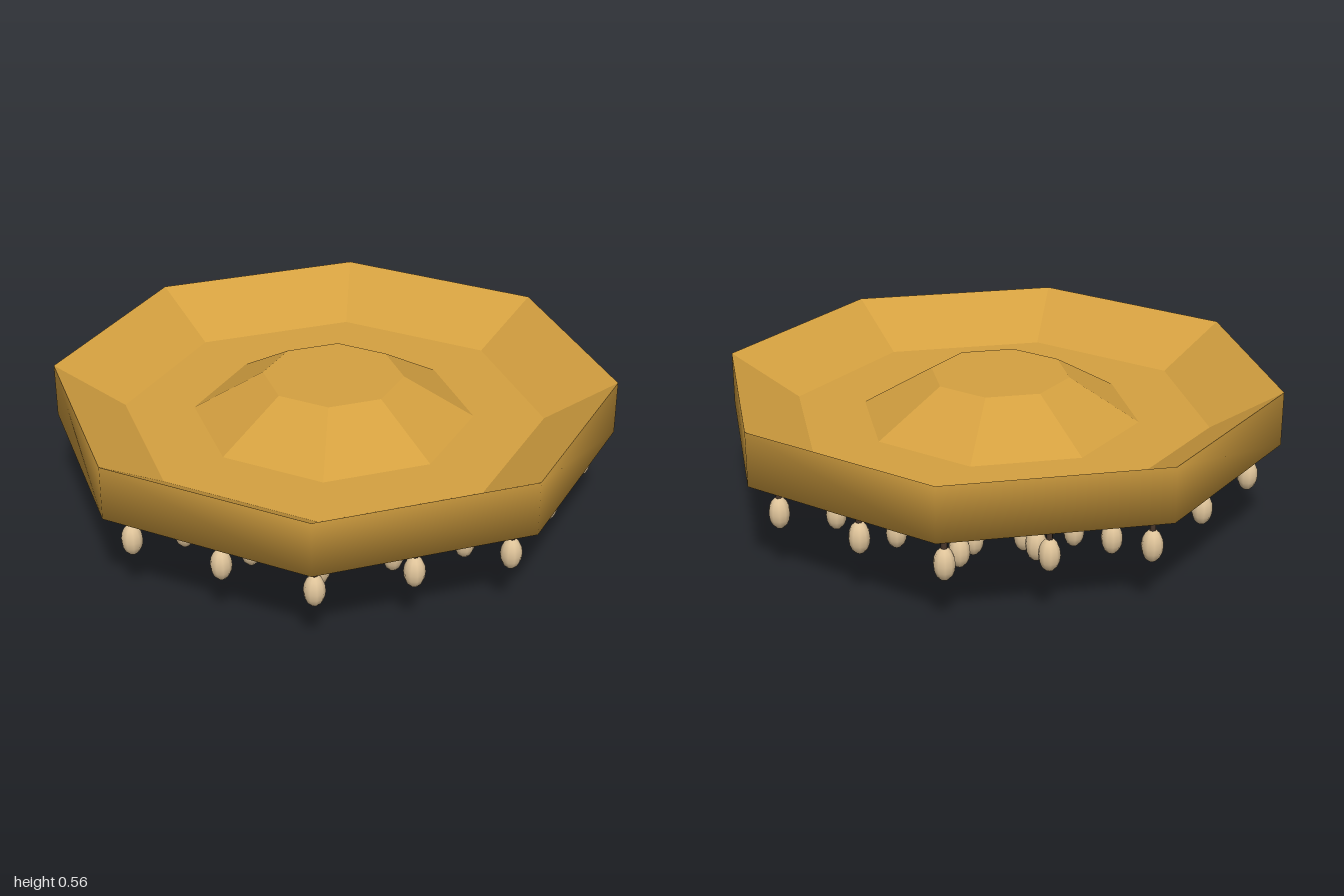
import * as THREE from 'three';

const SIDES = 8;
const RIM_Y = 0.555, BASE_Y = 0.36, STEP = 0.06;

export function createModel() {
  const model = new THREE.Group();
  model.name = 'chandelier';

  const gold = new THREE.MeshStandardMaterial({ color: 0xd4a040 });
  gold.name = 'gold';
  const darkMetal = new THREE.MeshStandardMaterial({ color: 0x4a382c });
  darkMetal.name = 'dark metal';
  const glass = new THREE.MeshStandardMaterial({ color: 0xdfc49a });
  glass.name = 'cream glass';

  const add = (name, geometry, material, parent = model) => {
    const mesh = new THREE.Mesh(geometry, material);
    mesh.name = name;
    parent.add(mesh);
    return mesh;
  };
  const lathe = (points) =>
    new THREE.LatheGeometry(points.map(([r, y]) => new THREE.Vector2(r, y)), SIDES);

  // Outer wall rounding softly into the underside
  add('outerWall', lathe([[0.78, BASE_Y], [1, BASE_Y], [1, RIM_Y]]), gold);

  // Faceted dish: sloped rim, flat floor and raised middle
  const dish = lathe([[1, RIM_Y], [0.75, 0.405], [0.5, 0.405], [0.25, RIM_Y]]).toNonIndexed();
  dish.computeVertexNormals();
  add('dish', dish, gold);
  const plateau = new THREE.CircleGeometry(0.25, SIDES).rotateX(-Math.PI / 2);
  add('plateau', plateau, gold).position.y = RIM_Y;

  // Stepped tiers under the dish
  const tierRadii = [0.78, 0.57, 0.35];
  tierRadii.forEach((r, i) => {
    const tier = new THREE.CylinderGeometry(r, r, STEP, SIDES);
    add(`tier${i + 1}`, tier, gold).position.y = BASE_Y - STEP * (i + 0.5);
  });

  // Pendants: a thin stem with an oval drop
  const stemGeometry = new THREE.CylinderGeometry(0.011, 0.011, 0.09, 6);
  const dropGeometry = new THREE.SphereGeometry(1, 10, 8).scale(0.037, 0.058, 0.037);
  const addPendant = (x, y, z) => {
    const pendant = new THREE.Group();
    pendant.name = 'pendant';
    pendant.position.set(x, y, z);
    add('stem', stemGeometry, darkMetal, pendant).position.y = -0.045;
    add('drop', dropGeometry, glass, pendant).position.y = -0.122;
    model.add(pendant);
  };

  // Rings of pendants at the corners and, on the wider rings, the edge middles
  const rings = [[0.89, true], [0.675, true], [0.46, true], [0.2, false]];
  rings.forEach(([r, withMiddles], level) => {
    const y = BASE_Y - STEP * level;
    const corner = (k) => {
      const a = (k / SIDES) * Math.PI * 2;
      return new THREE.Vector2(r * Math.sin(a), r * Math.cos(a));
    };
    for (let k = 0; k < SIDES; k++) {
      const p = corner(k);
      addPendant(p.x, y, p.y);
      if (withMiddles) {
        const m = p.clone().lerp(corner(k + 1), 0.5);
        addPendant(m.x, y, m.y);
      }
    }
  });

  return model;
}
